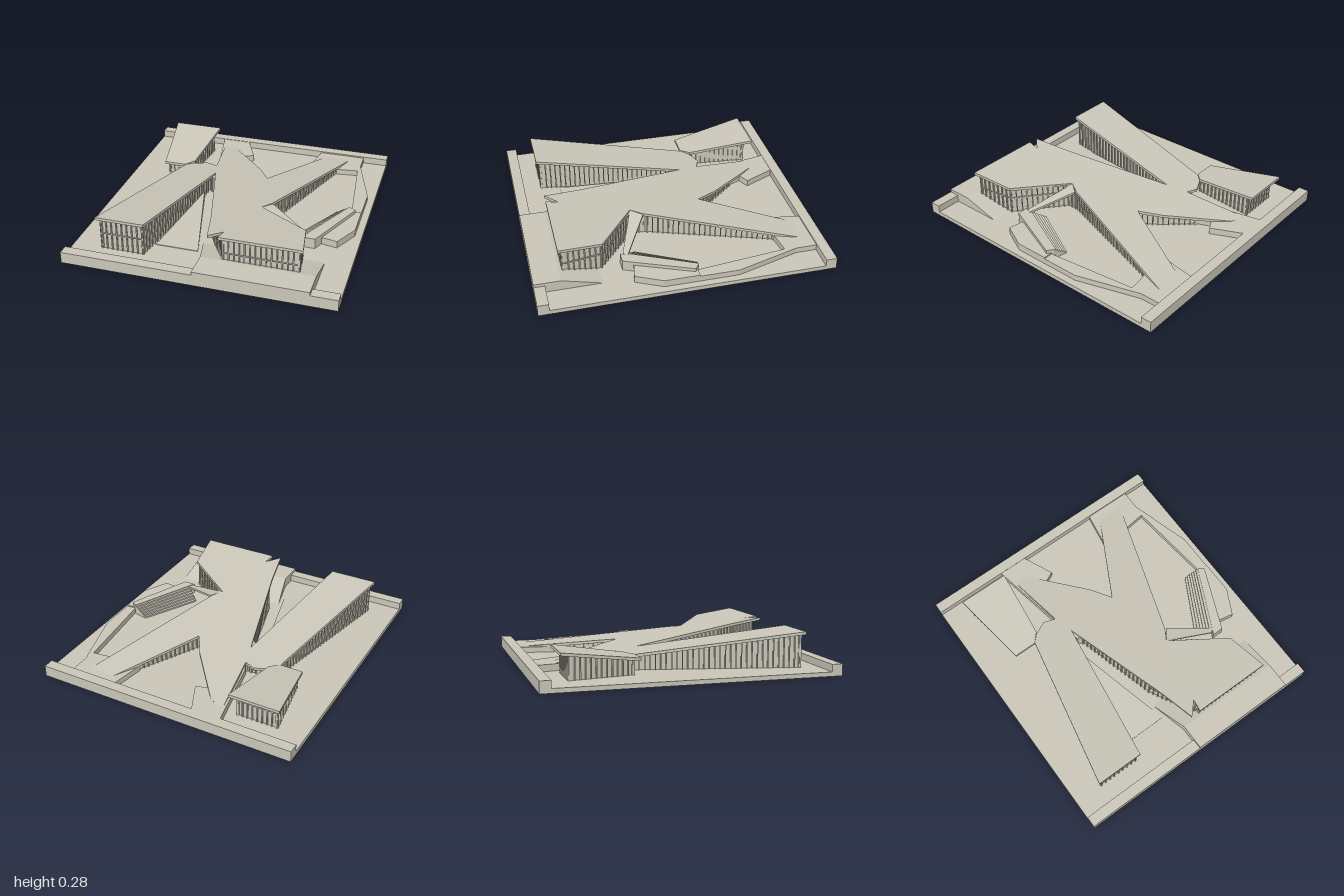
import * as THREE from 'three';

const stone = new THREE.MeshStandardMaterial({ color: 0xcac7b9 });
stone.name = 'pale stone';

const GROUND = 0.03;
// Height of the big folded roof's top surface
const roofY = (x, z) => 0.175 + 0.122 * z;
// Height of the small pavilion's roof
const pavilionY = (x, z) => 0.1 - 0.137 * z;
// Height of the entrance ramp, flat at the front and falling to the ground
const rampY = (x, z) => Math.min(0.103, GROUND + 0.073 * Math.max(0, (z - 0.55) / 0.27));

const height = (f, x, z) => (typeof f === 'function' ? f(x, z) : f);

// Vertical prism over a plan outline of [x, z] points, with sloping bottom and top
function prism(name, outline, bottom, top) {
  const shape = new THREE.Shape(outline.map(([x, z]) => new THREE.Vector2(x, -z)));
  const geo = new THREE.ExtrudeGeometry(shape, { depth: 1, bevelEnabled: false });
  geo.rotateX(-Math.PI / 2);
  const p = geo.attributes.position;
  for (let i = 0; i < p.count; i++) {
    const x = p.getX(i), z = p.getZ(i);
    p.setY(i, height(p.getY(i) > 0.5 ? top : bottom, x, z));
  }
  geo.computeVertexNormals();
  const mesh = new THREE.Mesh(geo, stone);
  mesh.name = name;
  return mesh;
}

const rect = (x0, x1, z0, z1) => [[x0, z0], [x1, z0], [x1, z1], [x0, z1]];

// Mullions and a middle rail along a wall from a to b
function facade(a, b, topFn, bottomFn = GROUND) {
  const group = new THREE.Group();
  group.name = 'facade';
  const dx = b[0] - a[0], dz = b[1] - a[1];
  const length = Math.hypot(dx, dz);
  const angle = -Math.atan2(dz, dx);
  const count = Math.max(1, Math.round(length / 0.036));
  for (let i = 0; i <= count; i++) {
    const x = a[0] + dx * i / count, z = a[1] + dz * i / count;
    const bottom = height(bottomFn, x, z);
    const h = topFn(x, z) - 0.015 - bottom;
    if (h < 0.02) continue;
    const mullion = new THREE.Mesh(new THREE.BoxGeometry(0.008, h, 0.02), stone);
    mullion.position.set(x, bottom + h / 2, z);
    mullion.rotation.y = angle;
    mullion.name = 'mullion';
    group.add(mullion);
  }
  const lowest = Math.min(topFn(...a), topFn(...b));
  if (lowest > 0.17) {
    const rail = new THREE.Mesh(new THREE.BoxGeometry(length, 0.006, 0.015), stone);
    rail.position.set((a[0] + b[0]) / 2, 0.145, (a[1] + b[1]) / 2);
    rail.rotation.y = angle;
    rail.name = 'rail';
    group.add(rail);
  }
  return group;
}

// Inset body with mullions on every side
function building(name, outline, topFn) {
  const group = new THREE.Group();
  group.name = name;
  const under = (x, z) => Math.max(GROUND + 0.002, topFn(x, z) - 0.012);
  group.add(prism('walls', outline, 0.01, under));
  outline.forEach((a, i) => group.add(facade(a, outline[(i + 1) % outline.length], topFn)));
  return group;
}

function createModel() {
  const model = new THREE.Group();
  model.name = 'site';

  // Ground slab and raised rims
  model.add(prism('ground', rect(-0.93, 0.93, -1, 1), 0, GROUND));
  model.add(prism('backRim', rect(-0.93, 0.93, -1, -0.925), 0, 0.08));
  model.add(prism('frontRim', rect(-0.93, -0.02, 0.925, 1), 0, 0.08));
  model.add(prism('cornerRim', rect(0.75, 0.93, 0.925, 1), 0, 0.08));

  // Entrance platform: flat apron, then a ramp down
  model.add(prism('apron', rect(-0.02, 0.75, 0.82, 1), 0, 0.103));
  model.add(prism('ramp', [[-0.02, 0.82], [0.75, 0.82], [0.75, 0.55], [-0.09, 0.55]], 0.005, rampY));

  // Path from the back rim on to the roof
  model.add(prism('backPath', [[-0.4, -0.93], [-0.29, -0.37], [-0.1, -0.5], [-0.17, -0.67],
    [-0.09, -0.71], [-0.19, -0.93]], 0.005, 0.077));

  // Terraces around the sunken court
  model.add(prism('backTerrace', [[0.41, -0.93], [0.75, -0.93], [0.75, -0.78], [0.88, -0.34],
    [0.88, -0.07], [0.81, -0.07], [0.74, -0.7], [0.58, -0.68], [0.37, -0.68]], 0.005, 0.07));
  model.add(prism('sideTerrace', [[0.8, -0.07], [0.88, -0.07], [0.88, 0.17], [0.79, 0.35],
    [0.68, 0.33], [0.6, 0.35]], 0.005, 0.08));

  // Stepped seating rising out of the court
  const steps = 6;
  for (let i = 0; i < steps; i++) {
    const t = i / steps;
    model.add(prism('seatStep', [[0.7 + 0.1 * t, -0.1 + 0.02 * t], [0.8, -0.08], [0.59, 0.36],
      [0.49 + 0.1 * t, 0.29 + 0.07 * t]], 0.005, GROUND + 0.07 * (i + 1) / steps));
  }
  model.add(prism('seatLanding', [[0.8, -0.08], [0.84, -0.05], [0.65, 0.4], [0.57, 0.4], [0.59, 0.36]],
    0.005, 0.105));

  // Sloping lawn between the two front wings
  model.add(prism('lawn', [[-0.39, 0.66], [-0.09, 0.66], [-0.28, -0.05]], 0.005,
    (x, z) => 0.035 + 0.06 * (0.66 - z)));

  // One tilted star-shaped roof over all the wings
  const roof = [[-0.75, 0.82], [-0.41, 0.82], [-0.25, -0.22], [-0.03, 0.56], [0.03, 0.82],
    [0.06, 0.79], [0.115, 0.73], [0.1, 0.82], [0.66, 0.82], [0.61, 0.52], [0.24, 0.26],
    [0.29, 0.18], [0.64, -0.83], [0.65, -0.88], [0.48, -0.88], [0.45, -0.84], [0.14, -0.26],
    [0.05, -0.41], [-0.25, -0.78], [-0.36, -0.83], [-0.29, -0.37], [-0.37, -0.4],
    [-0.46, -0.36], [-0.51, -0.33]];
  model.add(prism('mainRoof', roof, (x, z) => roofY(x, z) - 0.02, roofY));

  // Glazed bodies under the roof
  model.add(building('leftWing', [[-0.72, 0.79], [-0.43, 0.79], [-0.28, -0.16], [-0.31, -0.33],
    [-0.49, -0.3]], roofY));
  model.add(building('entranceWing', [[0.13, 0.79], [0.63, 0.79], [0.59, 0.53], [0.27, 0.27],
    [0.27, 0.17], [0.1, -0.2], [-0.22, -0.16], [-0.05, 0.45]], roofY));
  model.add(building('backWing', [[0.27, 0.18], [0.57, -0.68], [0.4, -0.7], [0.15, -0.22],
    [0.05, -0.37], [-0.12, -0.57], [-0.27, -0.4], [-0.3, -0.25], [-0.25, -0.15]], roofY));

  // Folded canopy dropping from the roof to the seating
  const canopyY = (x, z) => 0.2 - 0.1 * ((x - 0.27) * 0.93 + (z - 0.22) * 0.37) / 0.36;
  model.add(prism('canopy', [[0.3, 0.18], [0.24, 0.26], [0.57, 0.38], [0.6, 0.355]],
    (x, z) => canopyY(x, z) - 0.015, canopyY));

  // Separate pavilion at the back
  model.add(prism('pavilionRoof', [[-0.77, -0.84], [-0.41, -0.84], [-0.46, -0.36], [-0.52, -0.3],
    [-0.68, -0.3]], (x, z) => pavilionY(x, z) - 0.02, pavilionY));
  model.add(building('pavilion', [[-0.73, -0.78], [-0.45, -0.78], [-0.49, -0.35], [-0.66, -0.35]],
    pavilionY));

  return model;
}

export { createModel };
